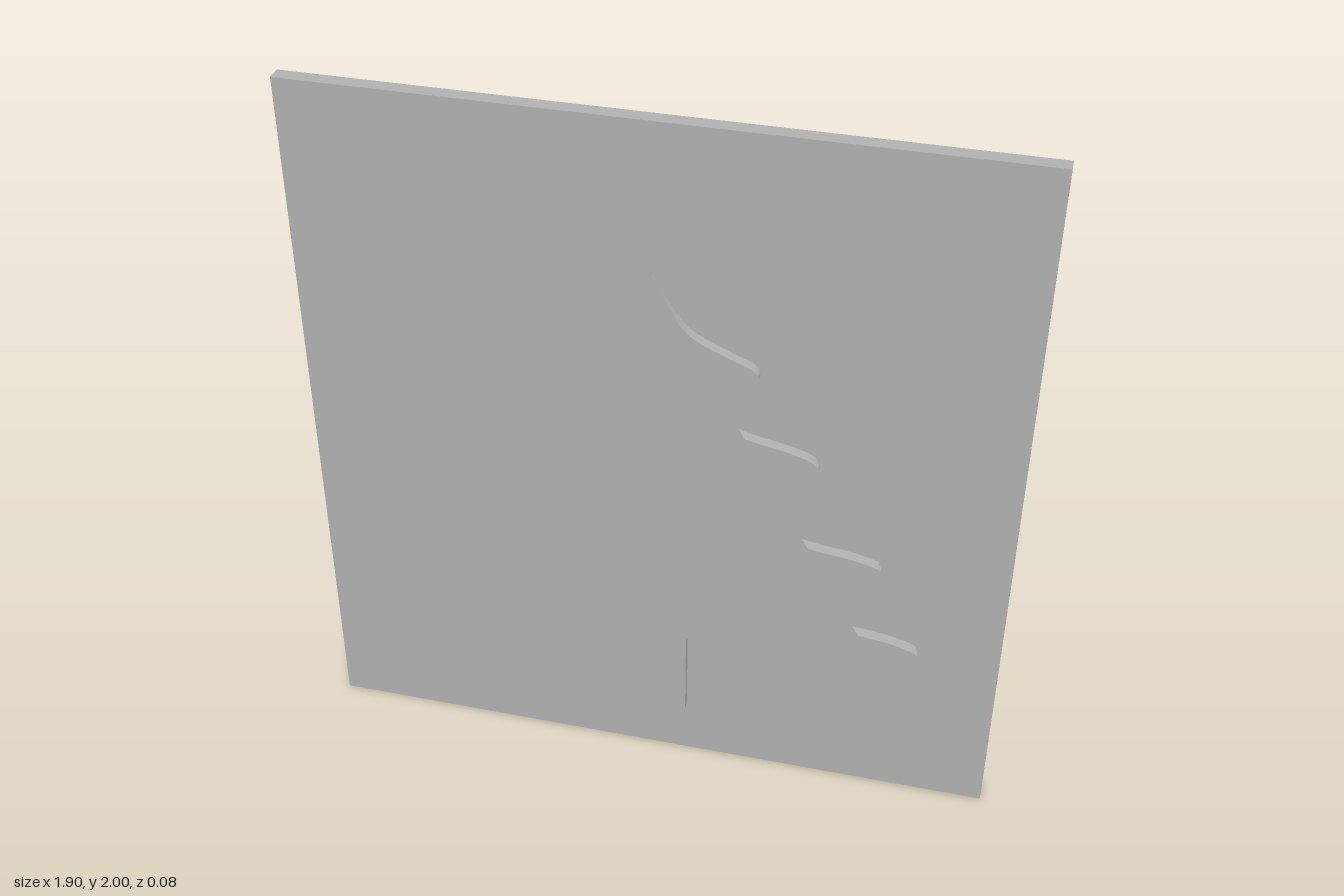
import * as THREE from 'three';

// Branch outline from the tip down to the trunk (right half of a fir tree)
const BRANCHES = [
  [0, 1.61], [0.045, 1.52], [0.1, 1.452], [0.2, 1.402], [0.262, 1.375], [0.275, 1.355], [0.25, 1.332],
  [0.19, 1.322], [0.12, 1.335], [0.085, 1.335], [0.1, 1.285], [0.17, 1.2], [0.24, 1.168], [0.35, 1.145],
  [0.42, 1.122], [0.437, 1.1], [0.41, 1.078], [0.34, 1.062], [0.2, 1.052], [0.168, 1.025], [0.22, 0.935],
  [0.31, 0.875], [0.42, 0.845], [0.56, 0.825], [0.615, 0.803], [0.6, 0.77], [0.5, 0.725], [0.42, 0.712],
  [0.3, 0.712], [0.272, 0.69], [0.31, 0.645], [0.4, 0.605], [0.52, 0.58], [0.68, 0.557], [0.735, 0.53],
  [0.71, 0.49], [0.62, 0.447], [0.5, 0.418], [0.38, 0.411], [0.24, 0.425], [0.1, 0.46],
];
const TRUNK = 0.1, FOOT = 0.195, DEPTH = 0.021;

// Half-tree silhouette; inset pulls the branch and trunk edges inward
function treeShape(inset) {
  const curve = new THREE.CatmullRomCurve3(BRANCHES.map(([x, y]) => new THREE.Vector3(x, y, 0)));
  const edge = [], n = 240;
  for (let i = 0; i <= n; i++) {
    const p = curve.getPoint(i / n), t = curve.getTangent(i / n);
    const q = new THREE.Vector2(p.x + t.y * inset, p.y - t.x * inset);
    if (q.x >= 0) edge.push(q);
  }
  const top = new THREE.Vector2(0, edge[0].y + 0.001);
  const side = TRUNK - inset;
  return new THREE.Shape([
    top, ...edge,
    new THREE.Vector2(side, edge[edge.length - 1].y + inset * 0.2),
    new THREE.Vector2(side, FOOT),
    new THREE.Vector2(0, FOOT),
  ]);
}

export function createModel() {
  const group = new THREE.Group();
  const grey = new THREE.MeshStandardMaterial({ color: 0xb2b2b2 });
  grey.name = 'grey';

  function add(name, geometry, x, y, z) {
    const mesh = new THREE.Mesh(geometry, grey);
    mesh.name = name;
    mesh.position.set(x, y, z);
    group.add(mesh);
  }
  const layer = inset => new THREE.ExtrudeGeometry(treeShape(inset), { depth: DEPTH, bevelEnabled: false });

  // Flat panel behind the relief
  add('backPanel', new THREE.BoxGeometry(1.9, 2, 0.042), 0, 1, -0.021);
  // Slightly narrower spacer and the full-size tree plate on top of it
  add('treeSpacer', layer(0.009), 0, 0, 0);
  add('treePlate', layer(0), 0, 0, DEPTH);
  return group;
}
